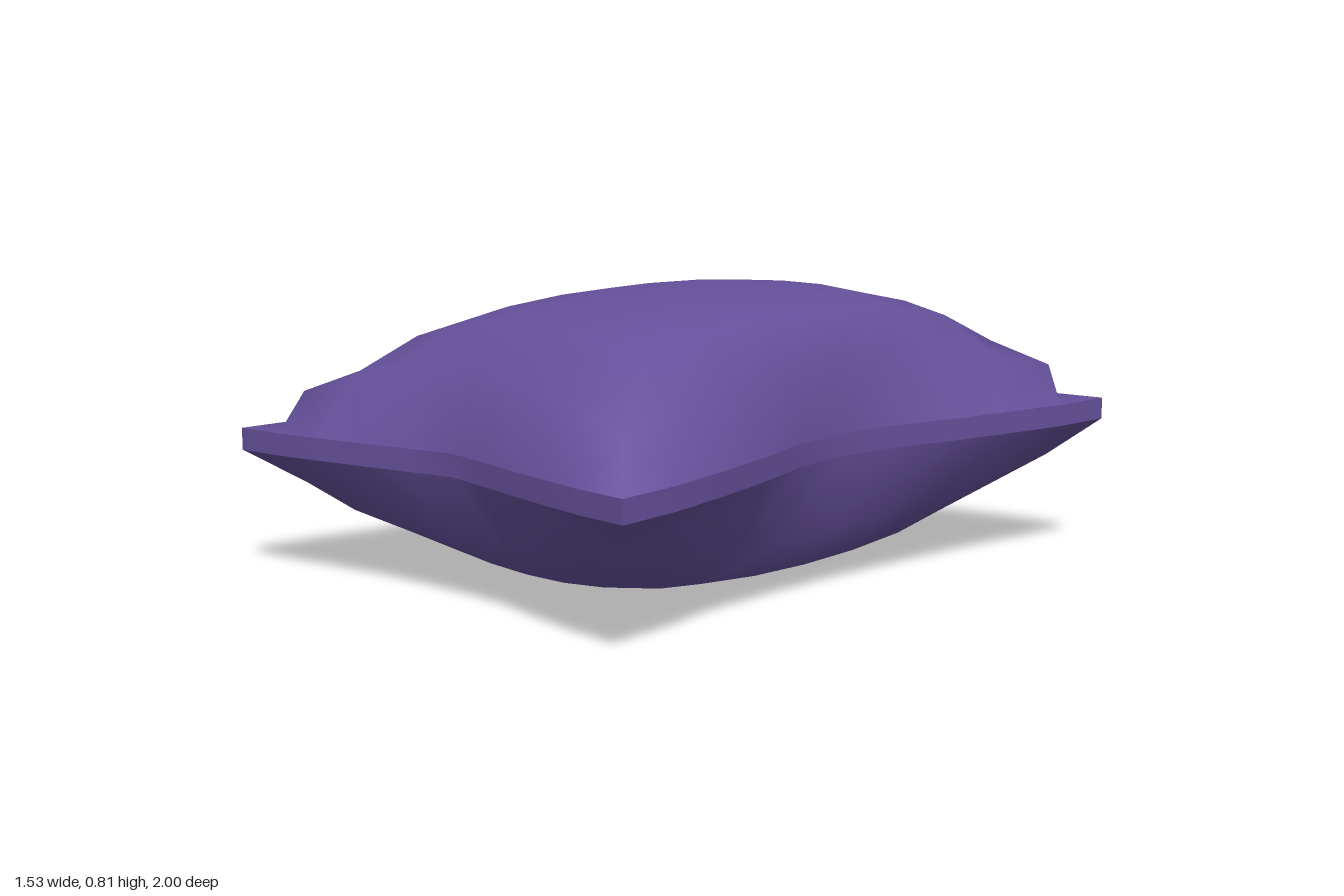
import * as THREE from 'three';

const N = 10; // cells across each panel
// Profiles sampled from the middle (index 0) to the border (index 5)
const BULGE = [1, 0.985, 0.935, 0.82, 0.52, 0];
const SIDE_PINCH = [1, 0.87, 0.56, 0.31, 0.08, 0];
const END_PINCH = [1, 0.76, 0.52, 0.29, 0.1, 0];
const lerp = THREE.MathUtils.lerp;

// Point of the cushion; face = 1 for the upper panel, -1 for the lower one
function point(i, j, face) {
  const u = i / 5 - 1, v = j / 5 - 1;
  const a = Math.abs(i - 5), b = Math.abs(j - 5);
  const right = u > 0;
  let x = 0.765 * u, z = 0.985 * v;

  // The border is drawn in between the corners, the row beside it bulges out
  if (a === 5) x = Math.sign(u) * (0.765 - (right ? 0.185 : 0.135) * SIDE_PINCH[b]);
  else if (a === 4) x = Math.sign(u) * (b === 5 ? 0.605 : lerp(right ? 0.56 : 0.6, 0.65, (b / 4) ** 2));
  if (b === 5) z = Math.sign(v) * (0.988 - 0.01 * u - 0.128 * END_PINCH[a]);
  else if (b === 4) z = Math.sign(v) * (a === 5 ? 0.785 : lerp(0.805, 0.865, (a / 4) ** 2));
  else z = (a === 5 ? 0.96 : 1.02) * v;

  const seam = 0.409 - 0.02 * v; // seam rises slightly to the back
  const puff = 0.373 * BULGE[a] * BULGE[b] * (1 + 0.05 * u * BULGE[b]);
  return [x, seam + face * (0.031 + puff), z];
}

// Smooth patch of n by m cells
function patch(name, n, m, at, material) {
  const positions = [], index = [];
  for (let j = 0; j <= m; j++) for (let i = 0; i <= n; i++) positions.push(...at(i, j));
  for (let j = 0; j < m; j++) {
    for (let i = 0; i < n; i++) {
      const a = j * (n + 1) + i, b = a + n + 1;
      index.push(a, b, b + 1, a, b + 1, a + 1);
    }
  }
  const geometry = new THREE.BufferGeometry();
  geometry.setAttribute('position', new THREE.Float32BufferAttribute(positions, 3));
  geometry.setIndex(index);
  geometry.computeVertexNormals();
  const mesh = new THREE.Mesh(geometry, material);
  mesh.name = name;
  return mesh;
}

export function createModel() {
  const fabric = new THREE.MeshStandardMaterial({ color: 0x64509a });
  fabric.name = 'purple fabric';

  const cushion = new THREE.Group();
  cushion.name = 'cushion';

  // Upper and lower padded panels
  cushion.add(patch('topPanel', N, N, (i, j) => point(i, j, 1), fabric));
  cushion.add(patch('bottomPanel', N, N, (i, j) => point(N - i, j, -1), fabric));

  // Narrow seam band joining the panels, one strip per side
  const sides = {
    frontSeam: (i) => [i, N],
    rightSeam: (i) => [0, i],
    backSeam: (i) => [N - i, 0],
    leftSeam: (i) => [N, N - i],
  };
  for (const [name, along] of Object.entries(sides)) {
    cushion.add(patch(name, N, 1, (i, j) => point(...along(i), j === 0 ? 1 : -1), fabric));
  }
  return cushion;
}
